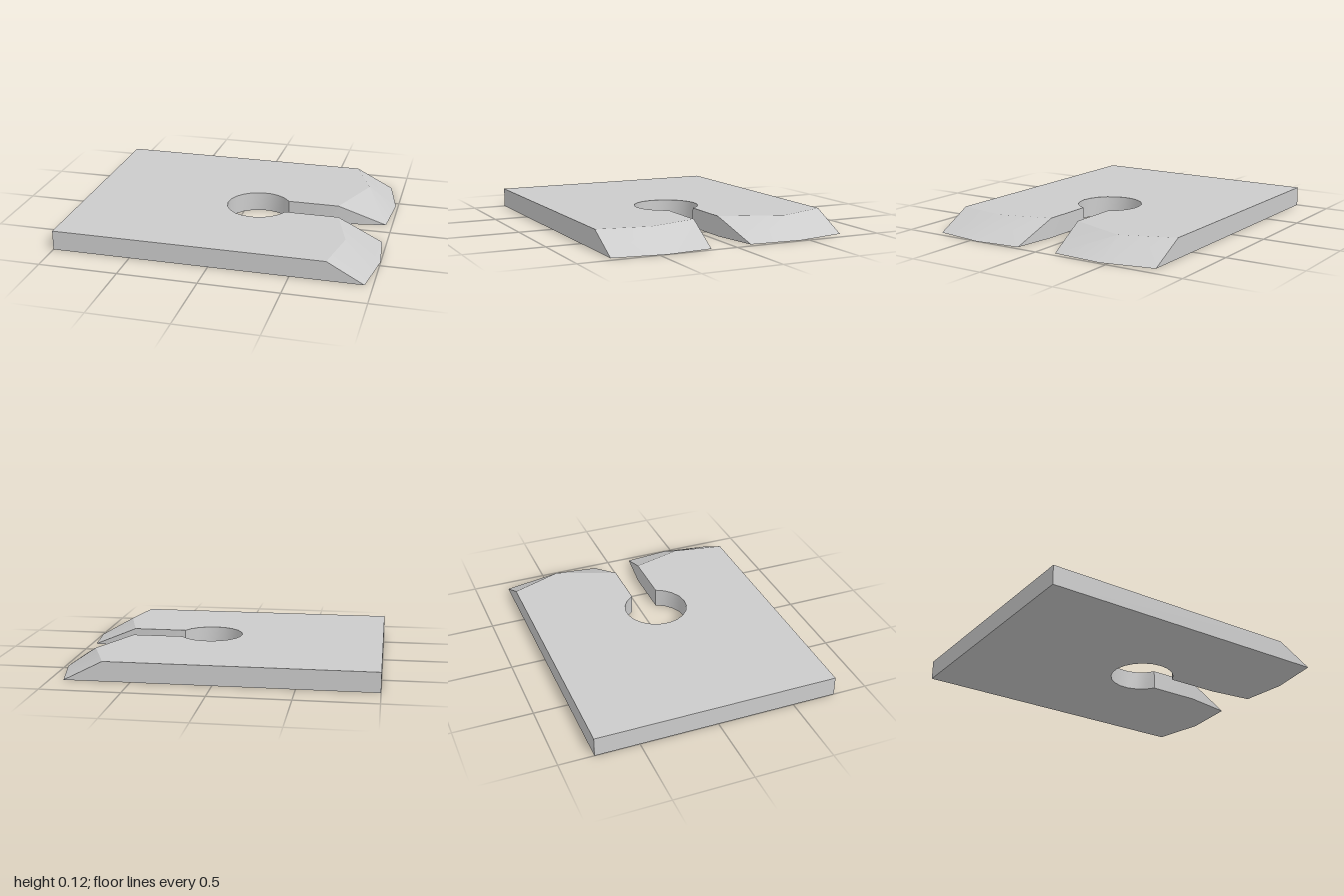
import * as THREE from 'three';
import { toCreasedNormals } from 'three/addons/utils/BufferGeometryUtils.js';

const HEIGHT = 0.125;

// Outline corners: bottom x, z and (where bevelled) a different top x, z
function outline() {
  const frontLobe = [
    [-1, 0.78],
    [0.95, 0.78, 0.72, 0.78],
    [1, 0.45, 0.78, 0.45],
    [0.97, 0.155, 0.68, 0.12],
    [0.68, 0.12],
  ];
  const backLobe = [
    [0.65, -0.06],
    [0.96, -0.115, 0.65, -0.06],
    [0.985, -0.45, 0.8, -0.45],
    [0.915, -0.78, 0.67, -0.78],
    [-1, -0.78],
  ];
  // Round end of the keyhole
  const hole = [];
  const steps = 18, start = 0.37, end = 5.755;
  for (let i = 0; i <= steps; i++) {
    const a = start + ((end - start) * i) / steps;
    hole.push([0.14 + 0.207 * Math.cos(a), 0.045 + 0.207 * Math.sin(a)]);
  }
  return [...frontLobe, ...hole, ...backLobe];
}

function plateGeometry() {
  const points = outline();
  const bottom = points.map(([x, z]) => new THREE.Vector3(x, 0, z));
  const top = points.map(([x, z, tx = x, tz = z]) => new THREE.Vector3(tx, HEIGHT, tz));
  const positions = [];
  const tri = (...corners) => {
    if (new THREE.Triangle(...corners).getArea() < 1e-7) return;
    corners.forEach((v) => positions.push(v.x, v.y, v.z));
  };

  // Flat top and underside
  const cap = (ring, up) => {
    const clean = ring.filter((v, i) => i === 0 || !v.equals(ring[i - 1]));
    const flat = clean.map((v) => new THREE.Vector2(v.x, v.z));
    for (const [i, j, k] of THREE.ShapeUtils.triangulateShape(flat, [])) {
      const a = clean[i], b = clean[j], c = clean[k];
      const facesUp = (b.z - a.z) * (c.x - a.x) - (b.x - a.x) * (c.z - a.z) > 0;
      if (facesUp === up) tri(a, b, c);
      else tri(a, c, b);
    }
  };
  cap(top, true);
  cap(bottom, false);

  // Walls, slot and bevelled tips
  for (let i = 0; i < bottom.length; i++) {
    const j = (i + 1) % bottom.length;
    tri(bottom[i], bottom[j], top[j]);
    tri(bottom[i], top[j], top[i]);
  }

  const geometry = new THREE.BufferGeometry();
  geometry.setAttribute('position', new THREE.Float32BufferAttribute(positions, 3));
  return toCreasedNormals(geometry, 0.4);
}

export function createModel() {
  const group = new THREE.Group();
  group.name = 'slottedPlate';
  const plate = new THREE.Mesh(
    plateGeometry(),
    new THREE.MeshStandardMaterial({ color: 0xcccccc })
  );
  plate.name = 'keyholePlate';
  group.add(plate);
  return group;
}
